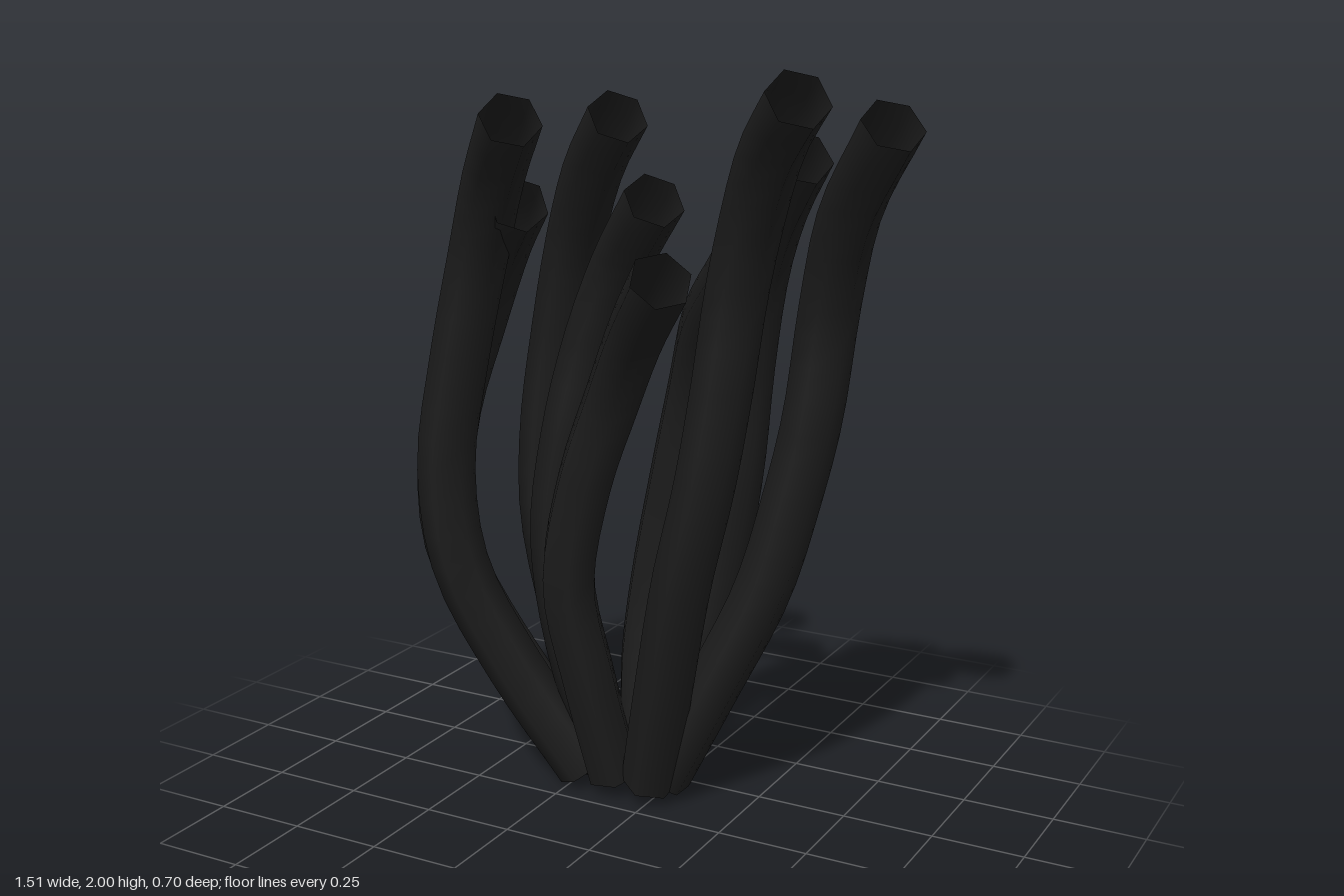
import * as THREE from 'three';

const RADIUS = 0.078;
const SIDES = 6;

// Centre line of every strand, from the gathered root to the swept tip: [x, y, z]
const strands = {
  // front row
  frontRightStrand: [[-0.22, 0.04, -0.11], [-0.4, 0.33, -0.04], [-0.53, 0.62, 0.02], [-0.56, 0.9, 0.035],
    [-0.51, 1.2, 0.035], [-0.43, 1.5, 0.05], [-0.34, 1.69, 0.12], [-0.19, 1.86, 0.27]],
  frontMiddleStrand: [[-0.12, 0.05, -0.1], [-0.16, 0.35, -0.03], [-0.19, 0.63, 0.02], [-0.13, 0.92, 0.035],
    [-0.04, 1.15, 0.05], [0.07, 1.34, 0.13], [0.22, 1.51, 0.28]],
  frontLeftStrand: [[-0.01, 0.05, -0.1], [0.07, 0.37, -0.03], [0.145, 0.68, 0.02], [0.215, 0.95, 0.035],
    [0.26, 1.2, 0.035], [0.3, 1.45, 0.04], [0.36, 1.65, 0.08], [0.44, 1.81, 0.16], [0.56, 1.94, 0.285]],
  // middle row
  outerRightStrand: [[-0.25, 0.05, -0.14], [-0.56, 0.43, -0.14], [-0.66, 0.6, -0.14], [-0.685, 0.78, -0.14],
    [-0.65, 1.02, -0.14], [-0.57, 1.25, -0.14], [-0.45, 1.48, -0.08], [-0.29, 1.63, 0.08]],
  innerStrand: [[-0.14, 0.05, -0.13], [-0.25, 0.38, -0.115], [-0.3, 0.7, -0.115], [-0.26, 1.0, -0.115],
    [-0.19, 1.26, -0.12], [-0.09, 1.47, -0.09], [0.08, 1.66, 0.05]],
  outerLeftStrand: [[0.01, 0.05, -0.14], [0.14, 0.32, -0.16], [0.28, 0.62, -0.18], [0.355, 0.88, -0.19],
    [0.405, 1.1, -0.195], [0.45, 1.4, -0.185], [0.53, 1.64, -0.1], [0.695, 1.87, 0.06]],
  // back row
  backRightStrand: [[-0.17, 0.05, -0.17], [-0.31, 0.36, -0.22], [-0.42, 0.7, -0.26], [-0.425, 0.95, -0.27],
    [-0.38, 1.25, -0.27], [-0.31, 1.5, -0.235], [-0.2, 1.7, -0.14], [-0.06, 1.85, -0.02]],
  backMiddleStrand: [[-0.05, 0.05, -0.16], [-0.07, 0.35, -0.19], [-0.05, 0.6, -0.215], [0.0, 0.88, -0.225],
    [0.06, 1.13, -0.21], [0.14, 1.33, -0.13], [0.29, 1.5, 0.015]],
  backLeftStrand: [[-0.01, 0.05, -0.17], [0.06, 0.35, -0.205], [0.125, 0.65, -0.23], [0.17, 0.93, -0.235],
    [0.195, 1.2, -0.235], [0.245, 1.45, -0.2], [0.325, 1.62, -0.12], [0.45, 1.78, 0.01]],
};

export function createModel() {
  const group = new THREE.Group();
  group.name = 'strandCluster';
  // Strands are hollow with open ends
  const material = new THREE.MeshStandardMaterial({ color: 0x1c1c1c, side: THREE.DoubleSide });
  for (const [name, points] of Object.entries(strands)) {
    const path = new THREE.CatmullRomCurve3(points.map((p) => new THREE.Vector3(...p)));
    const strand = new THREE.Mesh(new THREE.TubeGeometry(path, 24, RADIUS, SIDES), material);
    strand.name = name;
    group.add(strand);
  }
  return group;
}
